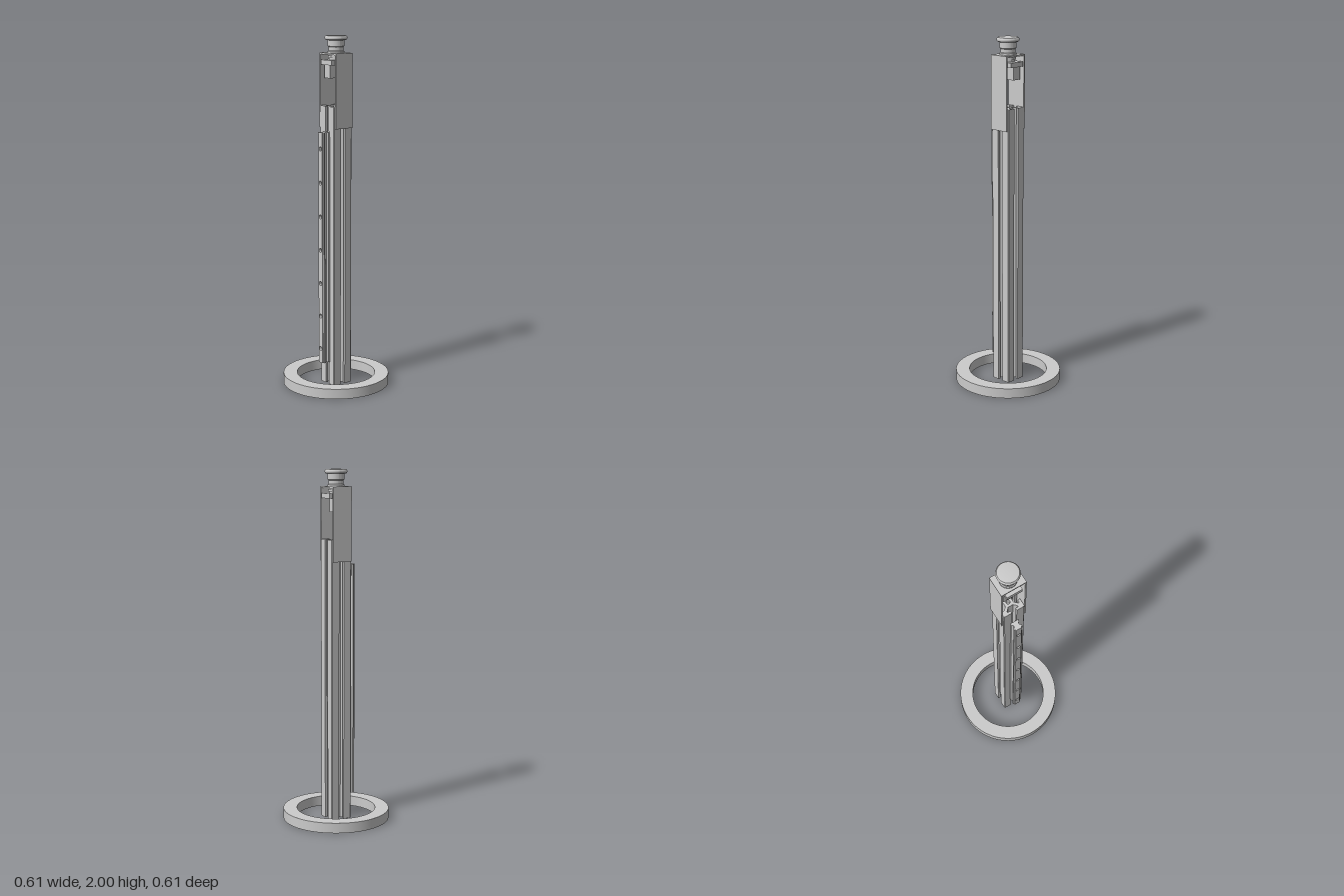
import * as THREE from 'three';
import { toCreasedNormals } from 'three/addons/utils/BufferGeometryUtils.js';

const material = new THREE.MeshStandardMaterial({ color: 0xcccccc });

function addMesh(parent, name, geometry, x = 0, y = 0, z = 0) {
  const mesh = new THREE.Mesh(geometry, material);
  mesh.name = name;
  mesh.position.set(x, y, z);
  parent.add(mesh);
  return mesh;
}

// A box given by its lower and upper corners
function addBox(parent, name, [x0, y0, z0], [x1, y1, z1]) {
  return addMesh(parent, name, new THREE.BoxGeometry(x1 - x0, y1 - y0, z1 - z0),
    (x0 + x1) / 2, (y0 + y1) / 2, (z0 + z1) / 2);
}

function toShape(points) {
  return new THREE.Shape(points.map(([x, y]) => new THREE.Vector2(x, y)));
}

function circleHole(x, y, r) {
  return new THREE.Path().absarc(x, y, r, 0, Math.PI * 2, true);
}

// Extrudes a plan shape (x, -z) upwards from y = 0
function extrudeUp(shape, height, curveSegments = 16) {
  const geometry = new THREE.ExtrudeGeometry(shape, { depth: height, bevelEnabled: false, curveSegments });
  geometry.rotateX(-Math.PI / 2);
  return toCreasedNormals(geometry, 0.5);
}

function lathe(points, segments = 48) {
  const geometry = new THREE.LatheGeometry(points.map(([r, y]) => new THREE.Vector2(r, y)), segments);
  return toCreasedNormals(geometry, 0.6);
}

// T-slot section: one side's outline turned four times around the core
function slotSection() {
  const h = 0.063, c = 0.004;
  const side = [
    [h, -h + c], [h, -0.015], [0.049, -0.015], [0.049, -0.032], [0.043, -0.032],
    [0.025, -0.014], [0.025, 0.014], [0.043, 0.032], [0.049, 0.032], [0.049, 0.015],
    [h, 0.015], [h, h - c], [h - c, h],
  ];
  const points = [];
  for (let i = 0; i < 4; i++) {
    const cos = Math.round(Math.cos(i * Math.PI / 2)), sin = Math.round(Math.sin(i * Math.PI / 2));
    for (const [x, y] of side) points.push([x * cos - y * sin, x * sin + y * cos]);
  }
  const shape = toShape(points);
  shape.holes.push(circleHole(0, 0, 0.011));
  return shape;
}

function createRail() {
  const rail = new THREE.Group();
  rail.name = 'guideRail';
  const y0 = 0.135, y1 = 1.47, core = 0.015;

  // Middle strip with a row of bolt holes
  const strip = toShape([[-core, y0], [core, y0], [core, y1], [-core, y1]]);
  for (let i = 0; i < 7; i++) strip.holes.push(circleHole(0, 0.22 + i * 0.193, 0.012));
  const stripGeometry = new THREE.ExtrudeGeometry(strip, { depth: 0.037, bevelEnabled: false, curveSegments: 12 });
  addMesh(rail, 'railStrip', toCreasedNormals(stripGeometry, 0.6), 0, 0, 0.075);
  addBox(rail, 'railBack', [-core, y0, 0.063], [core, y1, 0.075]);

  // Waisted flanks on both sides
  const flank = [[core, 0.063], [0.024, 0.063], [0.024, 0.073], [0.016, 0.081],
    [0.016, 0.090], [0.025, 0.097], [0.025, 0.104], [0.018, 0.107], [0.017, 0.112], [core, 0.112]];
  for (const s of [-1, 1]) {
    const shape = toShape(flank.map(([x, z]) => [s * x, -z]));
    addMesh(rail, 'railFlank', extrudeUp(shape, y1 - y0), 0, y0, 0);
  }
  return rail;
}

function createBracket() {
  const bracket = new THREE.Group();
  bracket.name = 'bracket';
  for (const s of [-1, 1]) {
    addMesh(bracket, 'bracketSide', new THREE.BoxGeometry(0.009, 0.415, 0.116), s * 0.0695, 1.6975, 0);
  }
  addBox(bracket, 'bracketTop', [-0.074, 1.896, -0.058], [0.074, 1.905, 0.058]);
  return bracket;
}

function createButton() {
  const button = new THREE.Group();
  button.name = 'pushButton';
  // Mushroom head, neck and collar
  addMesh(button, 'buttonHead', lathe([
    [0, 1.975], [0.055, 1.975], [0.061, 1.979], [0.063, 1.986], [0.062, 1.993], [0.057, 1.999], [0.05, 2], [0, 2],
  ]));
  addMesh(button, 'buttonNeck', lathe([
    [0, 1.905], [0.046, 1.905], [0.046, 1.914], [0.041, 1.918], [0.041, 1.937], [0.047, 1.942], [0.047, 1.976], [0, 1.976],
  ]));
  // Threaded body, contact carrier and switch block under the plate
  addMesh(button, 'buttonBody', lathe([
    [0, 1.865], [0.038, 1.865], [0.038, 1.878], [0.045, 1.878], [0.045, 1.89], [0.038, 1.89], [0.038, 1.9], [0, 1.9],
  ]));
  addBox(button, 'contactCarrier', [-0.047, 1.84, -0.067], [0.045, 1.867, 0.067]);
  addBox(button, 'switchBlock', [-0.052, 1.765, -0.042], [0, 1.842, 0.042]);
  return button;
}

export function createModel() {
  const model = new THREE.Group();
  model.name = 'buttonStand';

  // Floor ring
  const ring = new THREE.Shape().absarc(0, 0, 0.305, 0, Math.PI * 2, false);
  ring.holes.push(circleHole(0, 0, 0.226));
  addMesh(model, 'baseRing', extrudeUp(ring, 0.058, 64));

  addMesh(model, 'post', extrudeUp(slotSection(), 1.612));
  model.add(createRail(), createBracket(), createButton());
  return model;
}
